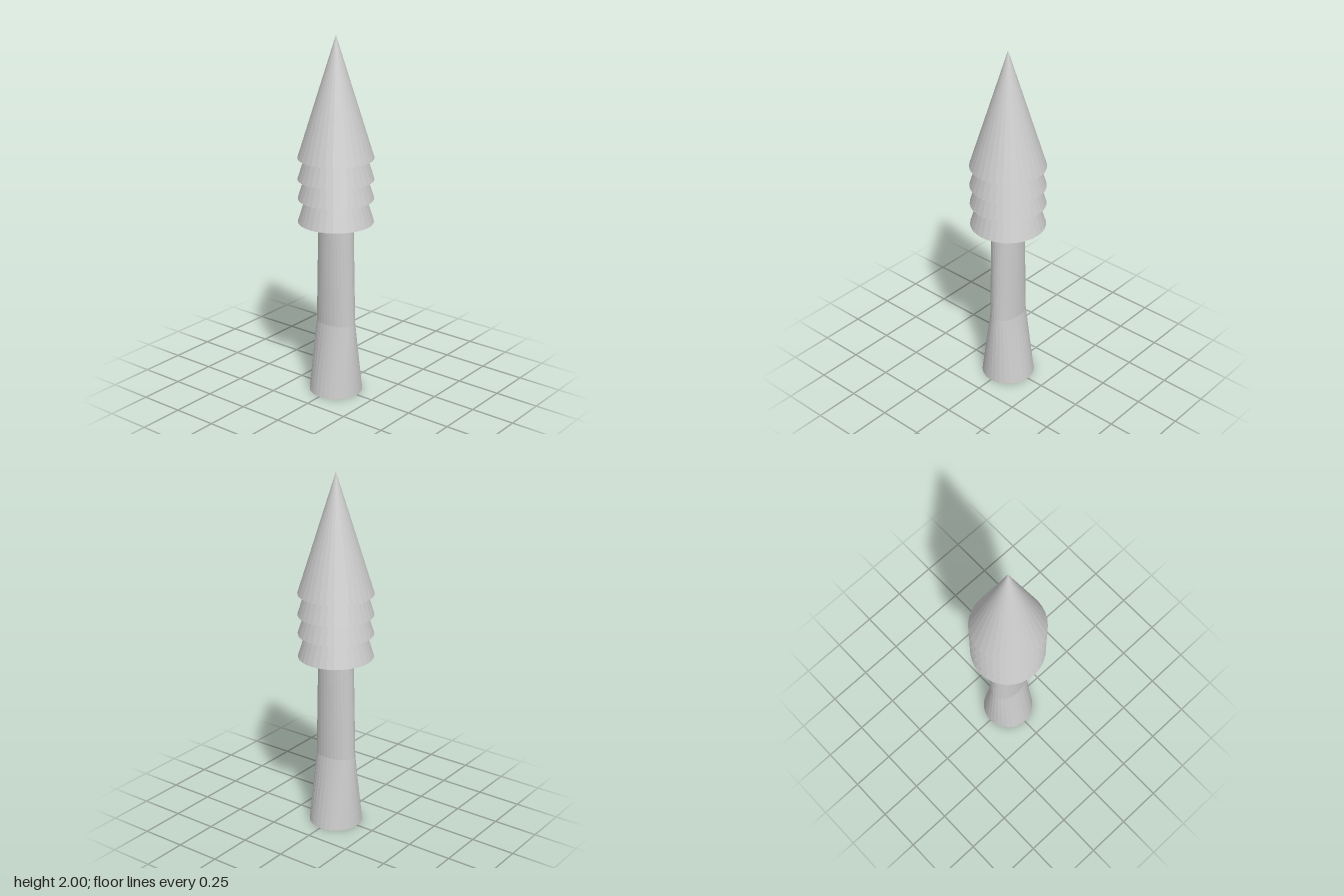
import * as THREE from 'three';

const SIDES = 32;

export function createModel() {
  const model = new THREE.Group();
  const material = new THREE.MeshStandardMaterial({ color: 0xcccccc, flatShading: true });

  // Trunk: round foot narrowing to an oval shaft; rings are [y, half width x, half depth z]
  const rings = [[0, 0.148, 0.148], [0.41, 0.119, 0.081], [1.0, 0.103, 0.081]];
  const trunkGeometry = new THREE.CylinderGeometry(1, 1, 2, SIDES, rings.length - 1);
  const p = trunkGeometry.attributes.position;
  for (let i = 0; i < p.count; i++) {
    const [y, rx, rz] = rings[Math.round(p.getY(i) + 1)];
    p.setXYZ(i, p.getX(i) * rx, y, p.getZ(i) * rz);
  }
  trunkGeometry.computeVertexNormals();
  const trunk = new THREE.Mesh(trunkGeometry, material);
  trunk.name = 'trunk';
  model.add(trunk);

  // Foliage: four equal cones stacked so that only the skirts of the lower ones show
  const height = 0.655;
  const coneGeometry = new THREE.ConeGeometry(0.205, height, SIDES);
  coneGeometry.translate(0, height / 2, 0);
  [0.99, 1.12, 1.228, 1.345].forEach((y, i) => {
    const tier = new THREE.Mesh(coneGeometry, material);
    tier.name = `foliageTier${i + 1}`;
    tier.position.y = y;
    model.add(tier);
  });

  return model;
}
